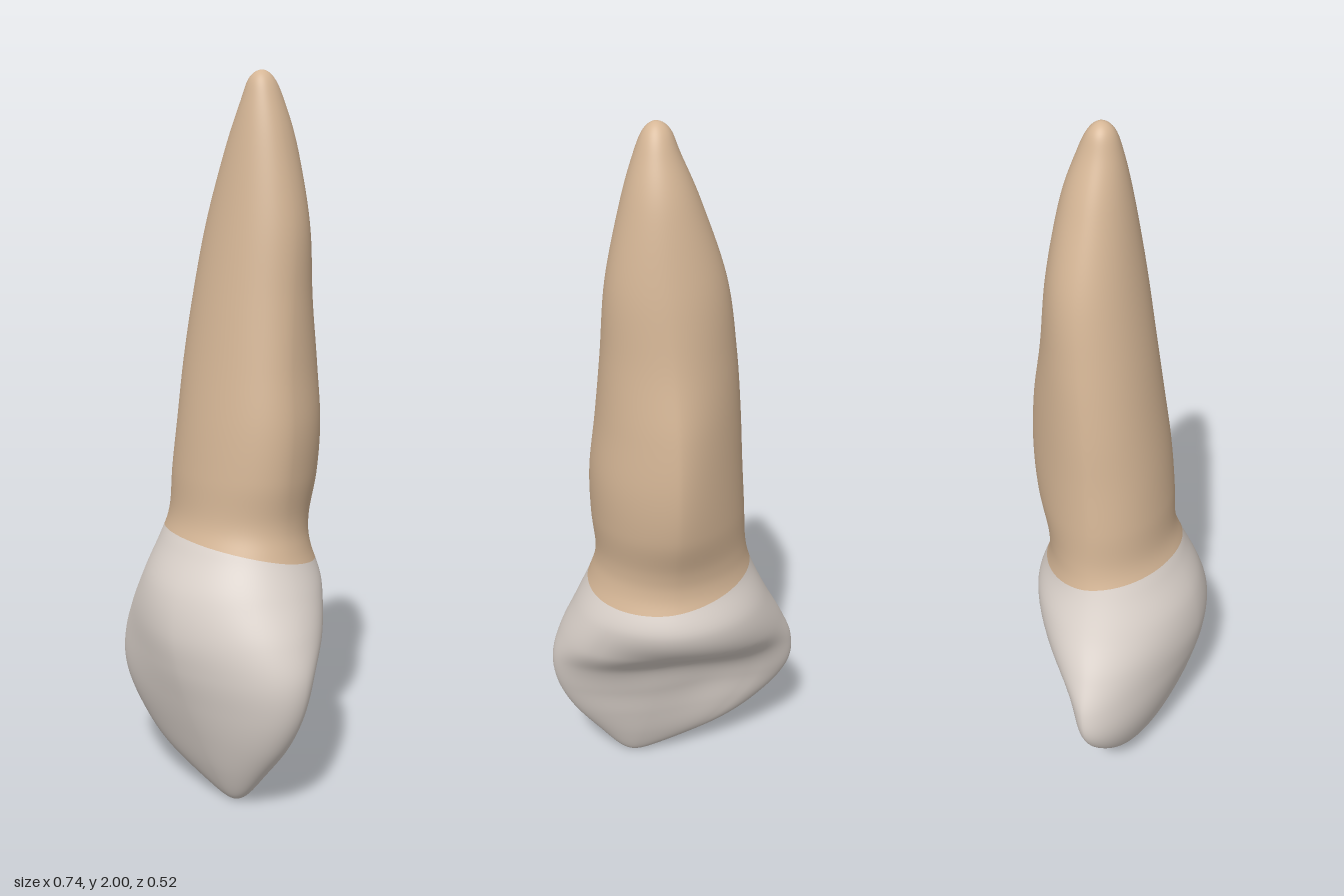
import * as THREE from 'three';

// Cross-sections from cusp to root tip:
// y, centre x, centre z, min x, max x, back z, front z
const SECTIONS = [
  [0.00, 0.115, 0.095, 0.115, 0.115, 0.095, 0.095],
  [0.02, 0.115, 0.095, 0.035, 0.165, 0.065, 0.122],
  [0.10, 0.10, 0.095, -0.165, 0.235, 0.028, 0.16],
  [0.20, 0.08, 0.085, -0.29, 0.31, -0.005, 0.195],
  [0.30, 0.06, 0.075, -0.36, 0.355, -0.035, 0.225],
  [0.40, 0.05, 0.065, -0.364, 0.367, -0.085, 0.25],
  [0.50, 0.04, 0.05, -0.325, 0.342, -0.19, 0.26],
  [0.61, 0.03, 0.02, -0.268, 0.297, -0.23, 0.242],
  [0.72, 0.03, 0.01, -0.218, 0.25, -0.20, 0.192],
  [0.80, 0.03, 0.00, -0.197, 0.233, -0.205, 0.161],
  [0.92, 0.03, 0.00, -0.19, 0.243, -0.243, 0.15],
  [1.06, 0.03, -0.01, -0.18, 0.244, -0.257, 0.135],
  [1.22, 0.03, -0.02, -0.17, 0.226, -0.247, 0.113],
  [1.40, 0.035, -0.04, -0.152, 0.21, -0.217, 0.087],
  [1.60, 0.045, -0.06, -0.12, 0.195, -0.195, 0.055],
  [1.80, 0.055, -0.06, -0.052, 0.153, -0.162, 0.02],
  [1.92, 0.06, -0.06, 0.00, 0.118, -0.122, -0.006],
  [1.98, 0.06, -0.06, 0.026, 0.092, -0.092, -0.027],
  [2.00, 0.06, -0.06, 0.06, 0.06, -0.06, -0.06],
].map(([y, cx, cz, x0, x1, z0, z1]) => [y, cx, cz, cx - x0, x1 - cx, cz - z0, z1 - cz]);

const LAST = SECTIONS.length - 1;
const NECK = 8; // section where enamel meets root
const STEPS = 8; // rows per section
const AROUND = 96;

// Mirroring the radii beyond each end makes the tips round
const mirrored = s => s.map((v, k) => (k >= 3 ? -v : v));
const section = i => (i < 0 ? mirrored(SECTIONS[-i])
  : i > LAST ? mirrored(SECTIONS[2 * LAST - i]) : SECTIONS[i]);

// Catmull-Rom blend of the sections at u
function blend(u) {
  const i = Math.min(Math.floor(u), LAST - 1), t = u - i;
  const [a, b, c, d] = [section(i - 1), section(i), section(i + 1), section(i + 2)];
  return b.map((_, k) => b[k] + 0.5 * t * (c[k] - a[k]
    + t * (2 * a[k] - 5 * b[k] + 4 * c[k] - d[k] + t * (3 * (b[k] - c[k]) + d[k] - a[k]))));
}

const gauss = (d, s) => Math.exp(-(d * d) / (2 * s * s));

// How strongly an outline is narrowed towards a direction
const narrowing = (angle, degrees) => (0.5 + 0.5 * Math.cos(angle - degrees * Math.PI / 180)) ** 2;

function surfacePoint(u, angle) {
  const c = Math.cos(angle), s = Math.sin(angle);
  // Slide the rows so the neck line rises at the front
  const slide = (0.035 * s - 0.022 * c) / 0.1;
  const v = Math.abs(u - NECK) < 5 ? u + slide * gauss(u - NECK, 1) : u;
  const [y, cx, cz, left, right, back, front] = blend(v);
  // The crown narrows to the front right corner, the root to the back right
  const n = 2 - 0.42 * gauss(y - 0.42, 0.12) * narrowing(angle, 135)
    - 0.45 * gauss(y - 1.1, 0.28) * narrowing(angle, 240);
  const x = cx + (c > 0 ? right : left) * Math.sign(c) * Math.abs(c) ** (2 / n);
  let z = cz + (s > 0 ? front : back) * Math.sign(s) * Math.abs(s) ** (2 / n);
  // Hollows on the back of the crown
  if (s < 0 && y < 0.8) {
    const groove = 0.03 * gauss(y - 0.44 - 0.35 * x, 0.07) * gauss(x - 0.04, 0.17);
    const basin = 0.025 * gauss(x + 0.1, 0.09) * gauss(y - 0.28, 0.09);
    z += (groove + basin) * Math.min(1, s * s * 2);
  }
  return [x, y, z];
}

export function createModel() {
  const enamel = new THREE.MeshStandardMaterial({ color: 0xddd4cd });
  enamel.name = 'enamel';
  const dentine = new THREE.MeshStandardMaterial({ color: 0xd5b696 });
  dentine.name = 'dentine';

  // One continuous surface, so the shading is smooth across the neck
  const positions = [], crownFaces = [], rootFaces = [];
  const rows = LAST * STEPS;
  for (let i = 0; i <= rows; i++) {
    for (let j = 0; j < AROUND; j++) {
      positions.push(...surfacePoint(i / STEPS, (j / AROUND) * Math.PI * 2));
      if (i === rows) continue;
      const a = i * AROUND + j, b = i * AROUND + ((j + 1) % AROUND);
      (i < NECK * STEPS ? crownFaces : rootFaces)
        .push(a, a + AROUND, b, b, a + AROUND, b + AROUND);
    }
  }
  const whole = new THREE.BufferGeometry();
  whole.setAttribute('position', new THREE.Float32BufferAttribute(positions, 3));
  whole.setIndex([...crownFaces, ...rootFaces]);
  whole.computeVertexNormals();

  // Split into crown and root by colour
  const group = new THREE.Group();
  group.name = 'tooth';
  for (const [name, faces, material] of [['crown', crownFaces, enamel], ['root', rootFaces, dentine]]) {
    const geometry = whole.clone();
    geometry.setIndex(faces);
    const mesh = new THREE.Mesh(geometry, material);
    mesh.name = name;
    group.add(mesh);
  }
  return group;
}
